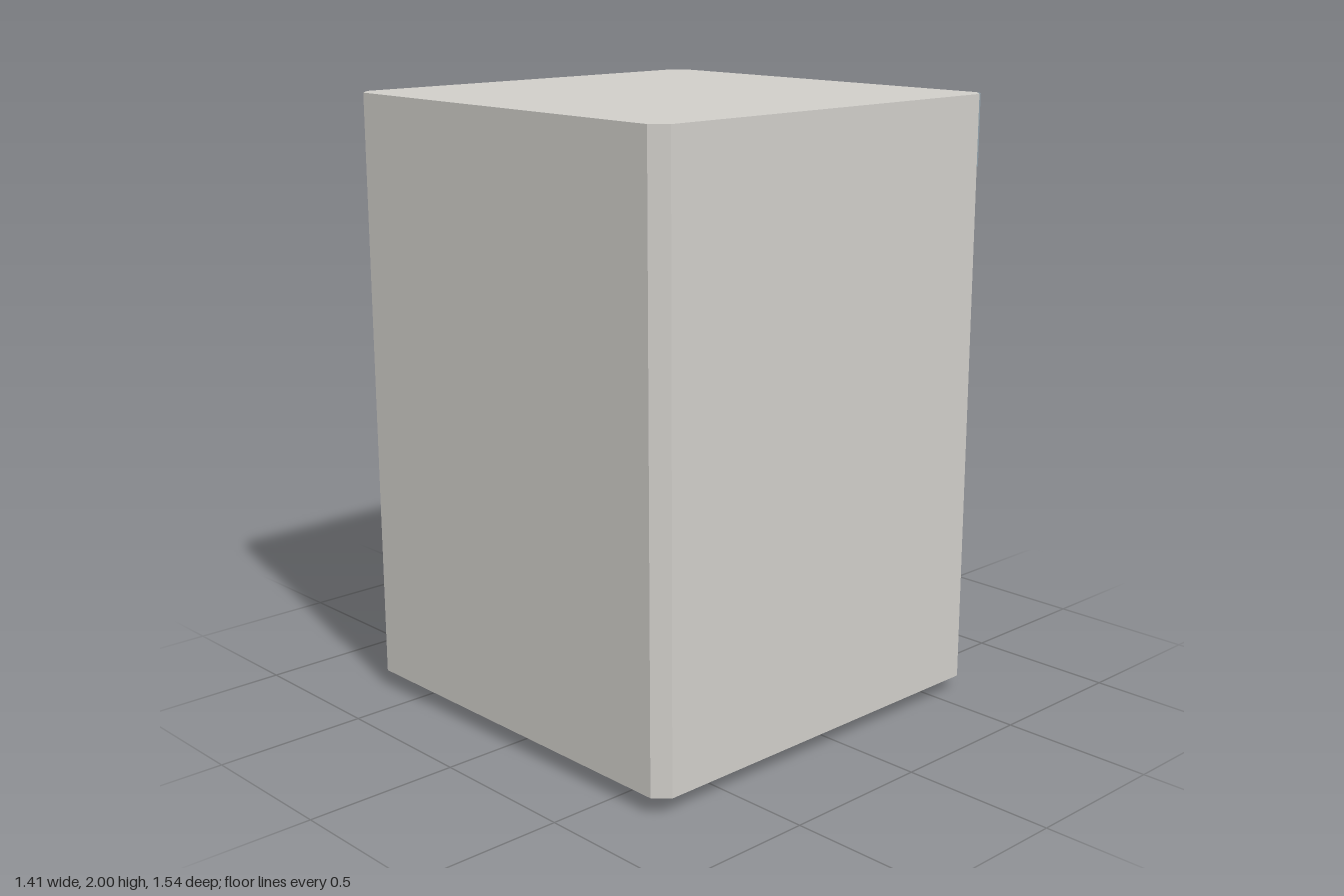
import * as THREE from 'three';

const material = (name, color) => {
  const m = new THREE.MeshStandardMaterial({ color, flatShading: true });
  m.name = name;
  return m;
};

export function createModel() {
  const model = new THREE.Group();
  model.name = 'washingMachine';
  const enamel = material('warm grey enamel', 0xcfcdc8);
  const slate = material('slate blue', 0x93a1aa);
  const black = material('black plastic', 0x2c2c2c);

  const add = (name, geometry, mat, x = 0, y = 0, z = 0) => {
    const mesh = new THREE.Mesh(geometry, mat);
    mesh.name = name;
    mesh.position.set(x, y, z);
    model.add(mesh);
    return mesh;
  };

  // Upright prism from a half outline of [x, z] points, mirrored in x
  const prism = (half, height) => {
    const mirrored = half.map(([x, z]) => [-x, z]).reverse();
    const points = [...half, ...mirrored].map(([x, z]) => new THREE.Vector2(x, -z));
    return new THREE.ExtrudeGeometry(new THREE.Shape(points), { depth: height, bevelEnabled: false })
      .rotateX(-Math.PI / 2);
  };

  // Round part standing out towards -z, from z = near to z = far
  const boss = (name, mat, rNear, rFar, near, far, sides, x, y) => {
    const geometry = new THREE.CylinderGeometry(rFar, rNear, near - far, sides)
      .rotateY(Math.PI / 2).rotateX(-Math.PI / 2);
    return add(name, geometry, mat, x, y, (near + far) / 2);
  };

  // Box given by its limits
  const block = (name, mat, x0, x1, y0, y1, z0, z1) =>
    add(name, new THREE.BoxGeometry(x1 - x0, y1 - y0, z1 - z0), mat,
      (x0 + x1) / 2, (y0 + y1) / 2, (z0 + z1) / 2);

  // Cabinet with chamfered upright edges
  add('cabinet', prism([[0.66, 0.77], [0.705, 0.725], [0.705, -0.594], [0.66, -0.639]], 1.945),
    enamel, 0, 0.055, 0);

  // Control panel wrapped round the chamfers
  add('controlPanel', prism([[0.69, -0.604], [0.69, -0.62], [0.665, -0.645]], 0.229),
    slate, 0, 1.77, 0);

  // Dial and buttons
  boss('dialBase', black, 0.083, 0.083, -0.64, -0.675, 6, -0.423, 1.887);
  boss('dial', black, 0.072, 0.06, -0.675, -0.725, 6, -0.423, 1.887);
  for (const x of [0.07, 0.14, 0.21]) boss('button', black, 0.026, 0.026, -0.64, -0.68, 6, x, 1.887);

  // Round door with raised centre and latch
  boss('doorRing', slate, 0.505, 0.505, -0.635, -0.71, 12, 0, 0.88);
  boss('doorCentre', slate, 0.42, 0.375, -0.709, -0.772, 12, 0, 0.88);
  block('doorLatch', slate, -0.515, -0.435, 0.8, 0.96, -0.762, -0.67);

  // Drawer at the bottom
  block('drawer', slate, -0.635, -0.065, 0.1, 0.275, -0.695, -0.63);
  block('drawerHandle', black, -0.54, -0.16, 0.157, 0.215, -0.725, -0.69);

  // Feet
  for (const x of [-0.52, 0.52]) {
    for (const z of [0.585, -0.45]) {
      add('foot', new THREE.CylinderGeometry(0.04, 0.04, 0.06, 6).rotateY(Math.PI / 2), black, x, 0.03, z);
    }
  }
  return model;
}
